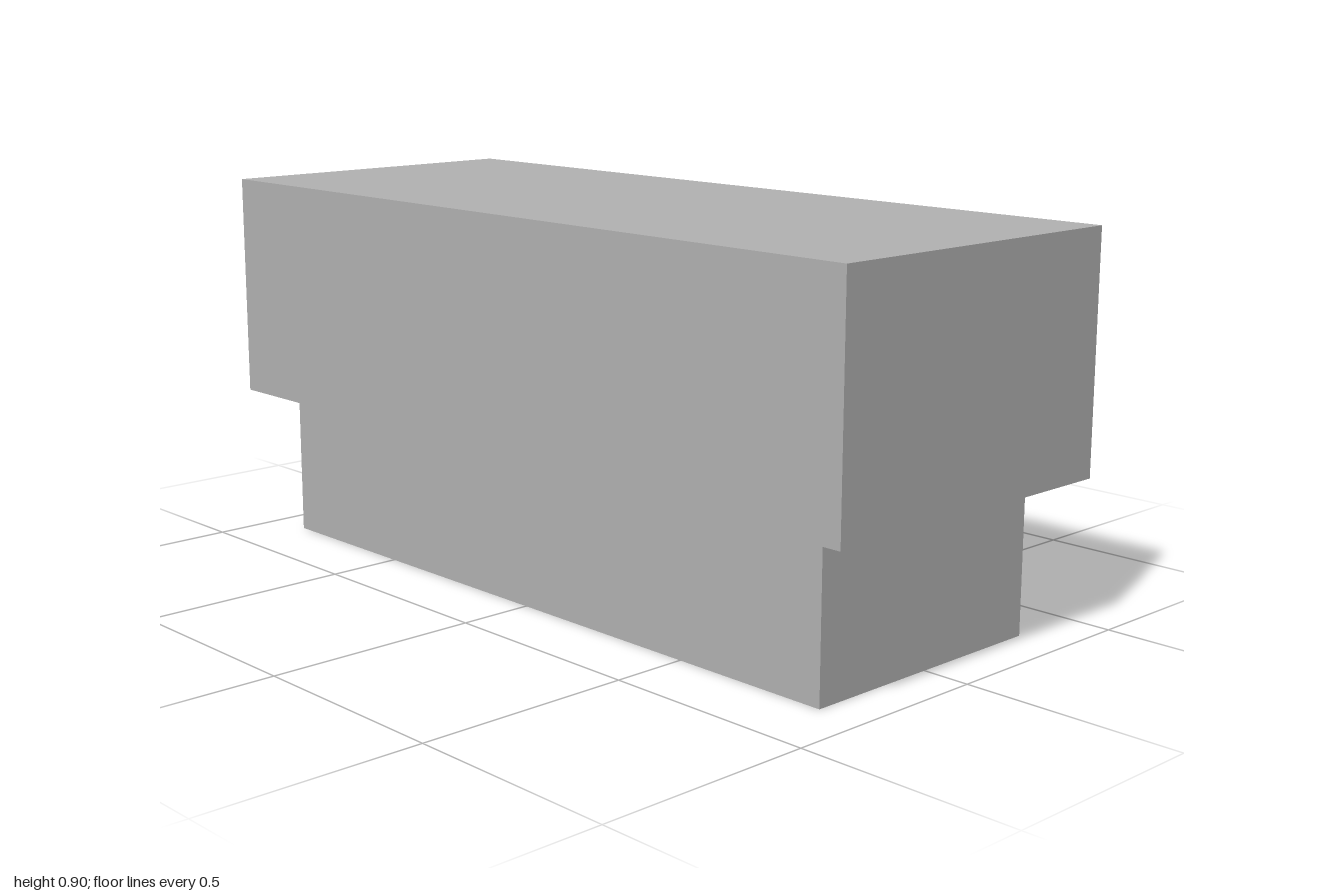
import * as THREE from 'three';

const grey = new THREE.MeshStandardMaterial({ color: 0xb2b2b2 });
grey.name = 'plain grey';

// Traces a centred rectangle on a Shape or Path
function rect(path, w, d) {
  const x = w / 2, z = d / 2;
  path.moveTo(-x, -z);
  path.lineTo(x, -z);
  path.lineTo(x, z);
  path.lineTo(-x, z);
  path.closePath();
  return path;
}

// Upright rectangular sleeve between two heights
function sleeve(name, w, d, holeW, holeD, y0, y1) {
  const shape = rect(new THREE.Shape(), w, d);
  shape.holes.push(rect(new THREE.Path(), holeW, holeD));
  const geo = new THREE.ExtrudeGeometry(shape, { depth: y1 - y0, bevelEnabled: false });
  geo.rotateX(-Math.PI / 2).translate(0, y0, 0);
  const mesh = new THREE.Mesh(geo, grey);
  mesh.name = name;
  return mesh;
}

export function createModel() {
  const model = new THREE.Group();
  model.name = 'steppedHollowBlock';

  const wall = 0.08, step = 0.36, top = 0.9;
  const baseW = 0.65, baseD = 1.78, headW = 0.8, headD = 2;
  const holeW = baseW - 2 * wall, holeD = baseD - 2 * wall;

  // Narrow base and wide head share one straight cavity, open below
  model.add(sleeve('base', baseW, baseD, holeW, holeD, 0, step));
  model.add(sleeve('head', headW, headD, holeW, holeD, step, top - wall));

  // Closed top of the head
  const lid = new THREE.Mesh(new THREE.BoxGeometry(headW, wall, headD), grey);
  lid.name = 'lid';
  lid.position.y = top - wall / 2;
  model.add(lid);

  return model;
}
